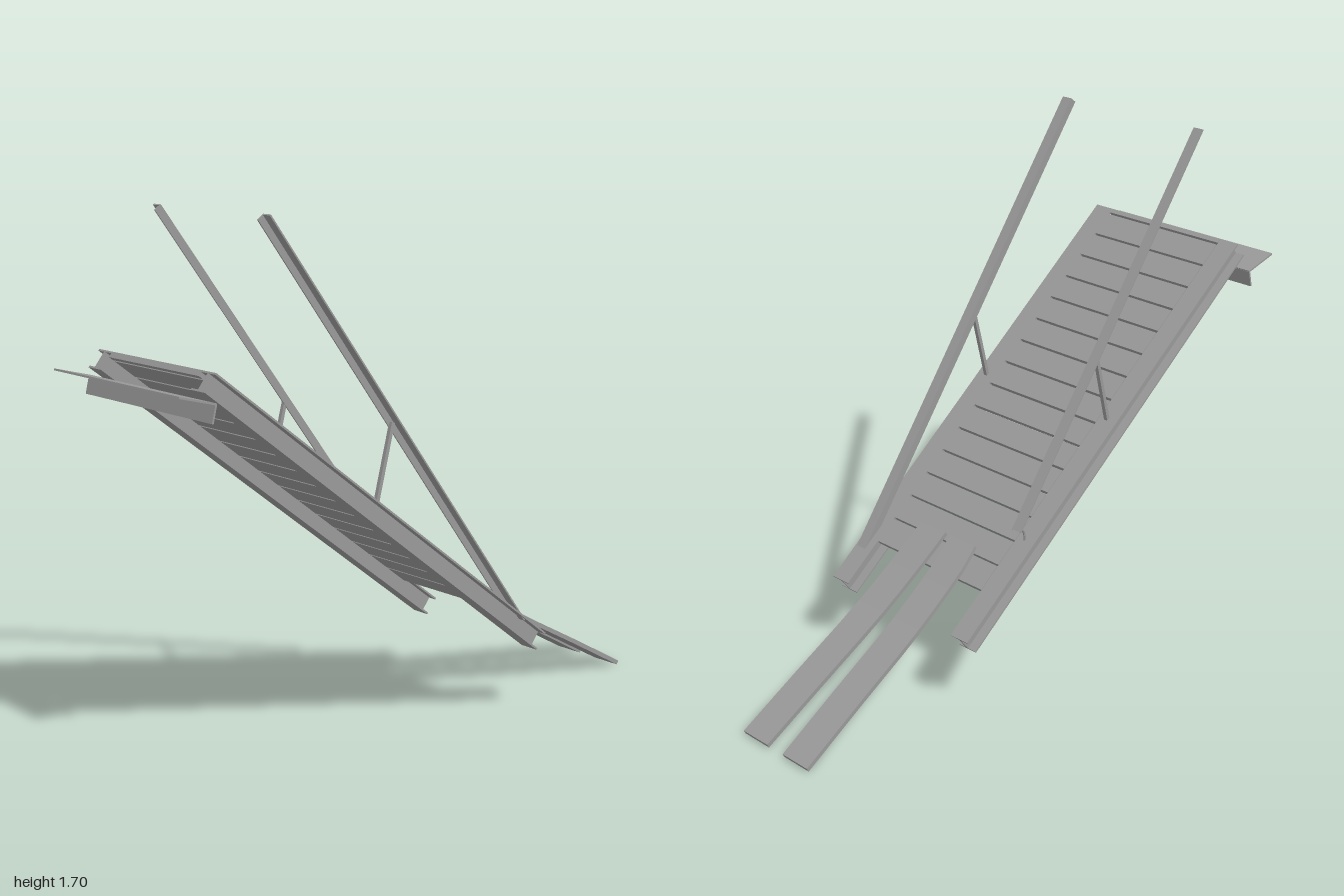
import * as THREE from 'three';

const material = new THREE.MeshStandardMaterial({ color: 0x999999, flatShading: true, side: THREE.DoubleSide });

function box(parent, name, size, pos) {
  const mesh = new THREE.Mesh(new THREE.BoxGeometry(...size), material);
  mesh.name = name;
  mesh.position.set(...pos);
  parent.add(mesh);
}

// Group at (x, y, z) whose local z axis points along (dy, dz)
function inclined(parent, name, x, y, z, dy, dz) {
  const g = new THREE.Group();
  g.name = name;
  g.position.set(x, y, z);
  g.rotation.x = -Math.atan2(dy, dz);
  parent.add(g);
  return g;
}

// Bar of given section between two [y, z] points
function bar(parent, name, x, a, b, width, thick) {
  const dy = b[0] - a[0], dz = b[1] - a[1];
  const g = inclined(parent, name, x, (a[0] + b[0]) / 2, (a[1] + b[1]) / 2, dy, dz);
  box(g, name + 'Bar', [width, thick, Math.hypot(dy, dz)], [0, 0, 0]);
}

// Bent board: a flat strip swept along a curve, drifting sideways from x0 to x1
function bentBoard(parent, name, x0, x1, width) {
  const curve = new THREE.CatmullRomCurve3([
    new THREE.Vector3(0, 0.465, -0.22), new THREE.Vector3(0, 0.407, -0.3),
    new THREE.Vector3(0, 0.279, -0.5), new THREE.Vector3(0, 0.133, -0.77),
    new THREE.Vector3(0, 0.009, -0.997),
  ]);
  const geo = new THREE.BoxGeometry(width, 0.015, 1, 1, 1, 12);
  const p = geo.attributes.position;
  for (let i = 0; i < p.count; i++) {
    const t = 0.5 - p.getZ(i);
    const c = curve.getPoint(t), d = curve.getTangent(t);
    const h = p.getY(i);
    const x = p.getX(i) + THREE.MathUtils.lerp(x0, x1, Math.pow(t, 0.85));
    p.setXYZ(i, x, c.y - d.z * h, c.z + d.y * h);
  }
  geo.computeVertexNormals();
  const mesh = new THREE.Mesh(geo, material);
  mesh.name = name;
  parent.add(mesh);
}

export function createModel() {
  const model = new THREE.Group();
  model.name = 'boardingRamp';

  // Sloping ramp: I-beams and deck, built flat in a tilted group
  const ramp = inclined(model, 'ramp', 0, 0.745, 0.235, 0.608, 0.794);
  const L = 1.645, H = 0.066;
  for (const [side, x] of [['right', -0.258], ['left', 0.3]]) {
    const beam = new THREE.Group();
    beam.name = side + 'Beam';
    beam.position.x = x;
    ramp.add(beam);
    for (const s of [-1, 1]) box(beam, 'flange', [0.072, 0.006, L], [0, s * (H / 2 - 0.003), 0]);
    box(beam, 'web', [0.008, H - 0.012, L], [0, 0, 0]);
  }

  // Deck boards, flush with the beam tops and parted by narrow gaps
  const gaps = 15, gap = 0.008, thick = 0.02;
  let start = -0.647;
  for (let i = 0; i <= gaps; i++) {
    const end = i < gaps ? -0.552 + i * 0.0967 - gap / 2 : L / 2;
    box(ramp, 'deckBoard', [0.485, thick, end - start], [0.0225, (H - thick) / 2, (start + end) / 2]);
    start = end + gap;
  }

  // Angle-iron handrails; the right one stops short of the beam
  for (const [side, x, length, inner] of [['right', -0.261, 1.425, 1], ['left', 0.31, 1.71, -1]]) {
    const rail = inclined(model, side + 'Handrail', x, 1.705, 0.668, 0.804, 0.595);
    box(rail, 'railTop', [0.038, 0.005, length], [0, -0.0025, -length / 2]);
    box(rail, 'railLeg', [0.005, 0.027, length], [inner * 0.0165, -0.0135, -length / 2]);
    bar(model, side + 'Strut', x + inner * 0.01, [0.8, 0.262], [1.05, 0.198], 0.014, 0.012);
  }

  // Small bent stay at the foot of the short handrail
  const stay = new THREE.Mesh(new THREE.TubeGeometry(new THREE.CatmullRomCurve3([
    new THREE.Vector3(-0.252, 0.5, -0.13), new THREE.Vector3(-0.252, 0.535, -0.135),
    new THREE.Vector3(-0.252, 0.562, -0.16),
  ]), 8, 0.004, 6), material);
  stay.name = 'railStay';
  model.add(stay);

  // Angle plate at the head of the ramp
  bar(model, 'headPlate', -0.001, [1.183, 0.873], [1.215, 0.999], 0.688, 0.006);
  bar(model, 'headLip', -0.001, [1.183, 0.875], [1.128, 0.888], 0.688, 0.006);

  // Two boards bridging from the deck to the ground
  bentBoard(model, 'rightBoard', -0.062, -0.107, 0.114);
  bentBoard(model, 'leftBoard', 0.073, 0.081, 0.114);

  return model;
}
